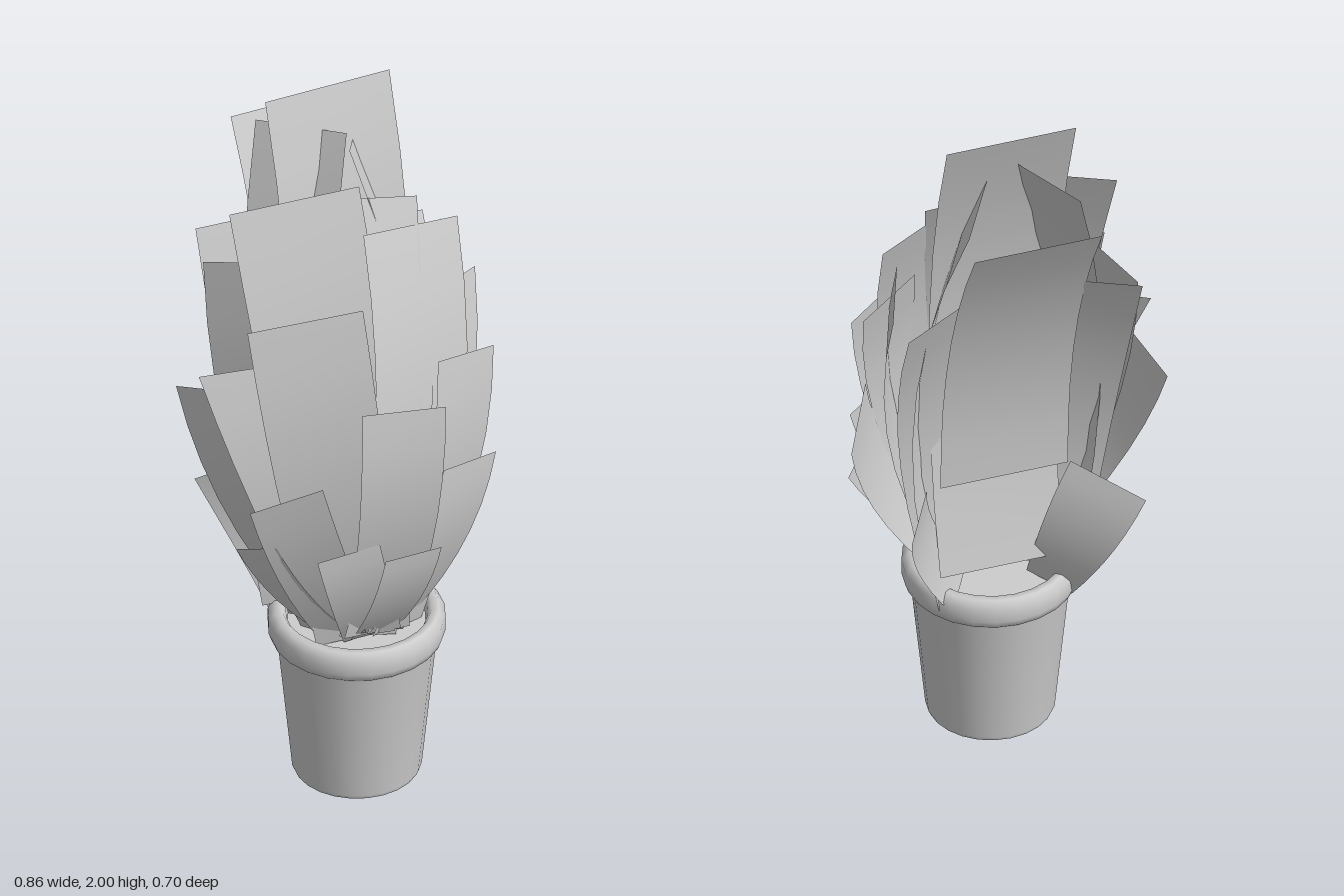
import * as THREE from 'three';

const AXIS = new THREE.Vector3(-0.02, 0.47, 0.09); // centre of the pot mouth

// Curved leaf blade: tip corners (left, right seen from outside) sweep down to a base in the pot
function leafGeometry(tip, baseScale, base) {
  const L = new THREE.Vector3(...tip.slice(0, 3));
  const R = new THREE.Vector3(...tip.slice(3, 6));
  const edge = R.clone().sub(L);
  const out = new THREE.Vector3(-edge.z, 0, edge.x).normalize();
  const top = L.clone().add(R).multiplyScalar(0.5);
  const root = base ? new THREE.Vector3(...base) : AXIS.clone().addScaledVector(out, 0.1);
  const ctrl = top.clone().add(root).multiplyScalar(0.5).addScaledVector(out, 0.16 * (top.y - root.y));
  const curve = new THREE.QuadraticBezierCurve3(root, ctrl, top);
  const geo = new THREE.PlaneGeometry(1, 1, 1, 7);
  const pos = geo.attributes.position;
  for (let i = 0; i < pos.count; i++) {
    const t = pos.getY(i) + 0.5;
    // blade reaches nearly full width by the middle
    const w = baseScale + (1 - baseScale) * Math.sin(t * Math.PI / 2);
    const p = curve.getPoint(t).addScaledVector(edge, pos.getX(i) * w);
    pos.setXYZ(i, p.x, p.y, p.z);
  }
  geo.computeVertexNormals();
  return geo;
}

// Each leaf: tip corners (x y z left, x y z right), width of the base, optional base point
const innerLeaves = [
  [[-0.15, 1.857, -0.255, 0.01, 1.905, -0.037], 0.95, [-0.12, 0.47, 0.06]],
  [[0.01, 1.86, -0.02, 0.155, 1.81, -0.255], 0.95, [0.1, 0.47, 0.06]],
  [[-0.32, 1.735, -0.05, 0.01, 1.785, 0.04], 0.72],
  [[-0.03, 1.73, 0.0, 0.18, 1.70, 0.03], 0.72],
  [[-0.01, 1.68, 0.11, 0.3, 1.595, 0.02], 0.8],
];
const middleLeaves = [
  [[-0.335, 1.455, 0.095, -0.055, 1.515, 0.205], 0.72],
  [[-0.33, 1.5, -0.19, -0.19, 1.6, 0.04], 0.72],
  [[-0.43, 1.285, 0, -0.19, 1.32, 0.09], 0.72],
  [[-0.11, 1.27, 0.32, 0.12, 1.245, 0.34], 0.72, [-0.015, 0.47, 0.18]],
  [[0.13, 1.34, 0.27, 0.335, 1.27, 0.17], 0.72],
  [[0.18, 1.435, 0.11, 0.36, 1.405, 0.0], 0.72],
  [[0.25, 1.525, 0.05, 0.325, 1.49, -0.14], 0.72],
  [[-0.42, 1.15, -0.163, -0.36, 1.22, 0.0], 0.72],
];
const outerLeaves = [
  [[0.33, 1.145, 0.07, 0.425, 1.055, -0.095], 0.8],
  [[0.135, 1.01, 0.295, 0.33, 0.95, 0.195], 0.72],
  [[0.28, 0.92, 0.16, 0.37, 0.83, 0.09], 0.72],
  [[-0.05, 0.8, 0.335, 0.11, 0.8, 0.335], 0.8],
  [[-0.22, 0.81, 0.28, -0.055, 0.84, 0.31], 0.72],
  [[-0.36, 0.935, 0.165, -0.2, 1.03, 0.27], 0.72],
  [[-0.37, 0.785, 0.1, -0.3, 0.83, 0.2], 0.72],
];
const backLeaves = [
  [[-0.18, 2.0, -0.13, 0.175, 2.0, -0.13], 0.95, [0, 0.56, -0.06]],
  [[-0.175, 1.81, -0.355, 0.175, 1.81, -0.355], 1, [0, 0.87, -0.08]],
  [[-0.315, 1.55, -0.27, 0.01, 1.6, -0.18], 0.7, [-0.12, 0.5, 0]],
  [[0.05, 1.55, -0.14, 0.305, 1.47, -0.205], 0.6, [0.1, 0.5, 0.02]],
  [[0.225, 0.9, -0.115, 0.295, 0.8, -0.2], 0.9, [0.1, 0.47, -0.01]],
  [[-0.17, 0.9, -0.115, -0.343, 0.8, -0.215], 0.6, [-0.14, 0.45, -0.03]],
];

export function createModel() {
  const model = new THREE.Group();
  const grey = new THREE.MeshStandardMaterial({ color: 0xcccccc, side: THREE.DoubleSide });
  grey.name = 'pale grey';
  const add = (name, geo, parent = model) => {
    const mesh = new THREE.Mesh(geo, grey);
    mesh.name = name;
    parent.add(mesh);
    return mesh;
  };

  // Tapered pot, open below, with a rolled rim and hollow mouth
  const profile = [
    [0.165, 0], [0.17, 0.012], [0.208, 0.4], [0.225, 0.415], [0.232, 0.435], [0.232, 0.475],
    [0.215, 0.495], [0.195, 0.495], [0.185, 0.48], [0.18, 0.45],
  ].map(([r, y]) => new THREE.Vector2(r, y));
  add('pot', new THREE.LatheGeometry(profile, 24)).position.set(AXIS.x, 0, AXIS.z);

  // Soil
  const soil = add('soil', new THREE.CircleGeometry(0.182, 24));
  soil.rotation.x = -Math.PI / 2;
  soil.position.set(AXIS.x, 0.455, AXIS.z);

  // Rings of leaves
  const rings = { innerLeaf: innerLeaves, middleLeaf: middleLeaves, outerLeaf: outerLeaves, backLeaf: backLeaves };
  for (const [name, list] of Object.entries(rings)) {
    const ring = new THREE.Group();
    ring.name = name + 'Ring';
    list.forEach((leaf, i) => add(name + (i + 1), leafGeometry(...leaf), ring));
    model.add(ring);
  }
  return model;
}
